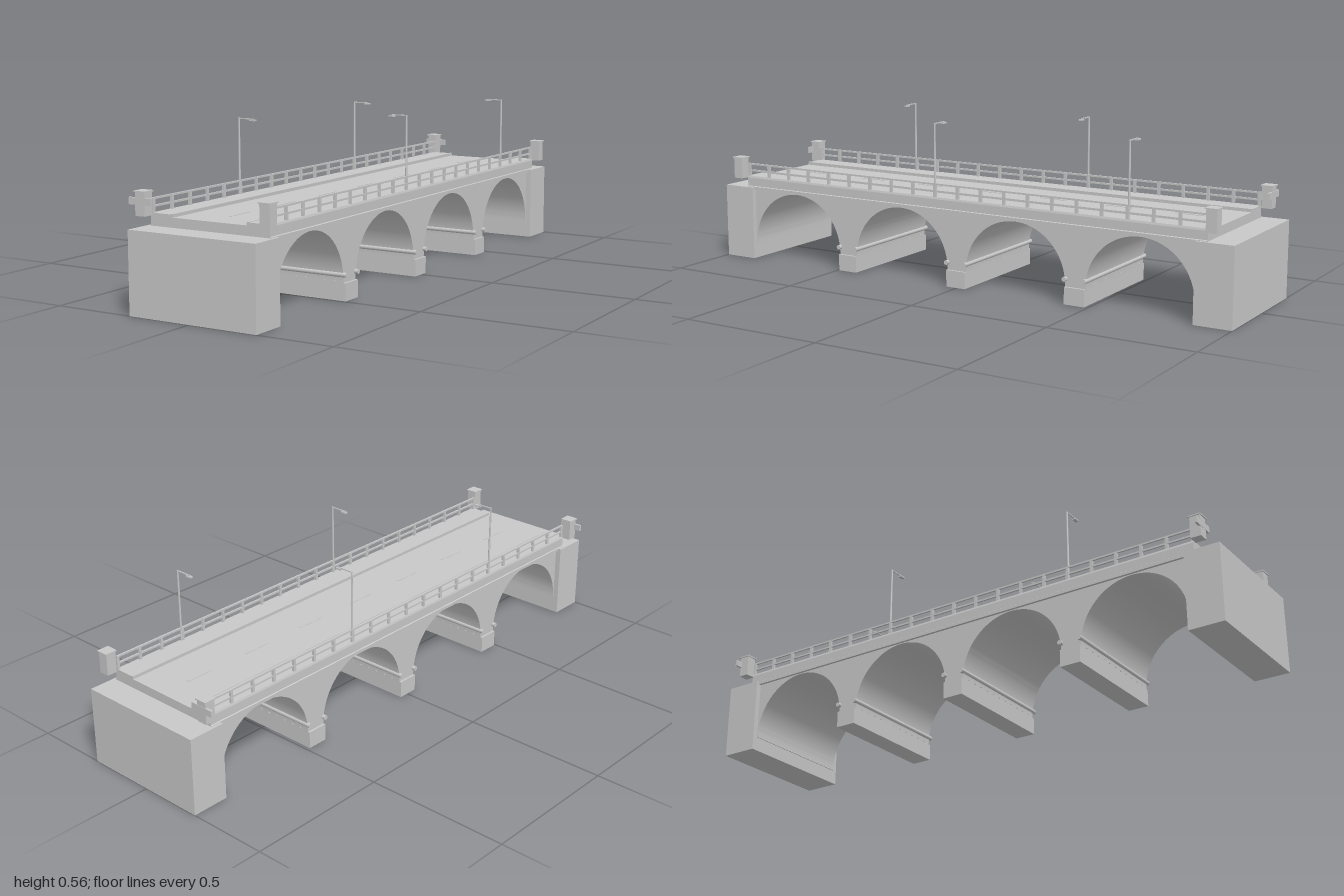
import * as THREE from 'three';
import { toCreasedNormals } from 'three/addons/utils/BufferGeometryUtils.js';

export function createModel() {
  const bridge = new THREE.Group();
  bridge.name = 'archBridge';
  const stone = new THREE.MeshStandardMaterial({ color: 0xc8c8c8 });
  stone.name = 'stoneGrey';
  const CX = 0.01; // centre line of the bridge
  const DECK = 0.907; // half length of the deck

  function add(name, geo, parent = bridge) {
    const mesh = new THREE.Mesh(geo, stone);
    mesh.name = name;
    parent.add(mesh);
    return mesh;
  }
  // Box given by its limits on each axis
  function box(name, x0, x1, y0, y1, z0, z1, parent) {
    const mesh = add(name, new THREE.BoxGeometry(x1 - x0, y1 - y0, z1 - z0), parent);
    mesh.position.set((x0 + x1) / 2, (y0 + y1) / 2, (z0 + z1) / 2);
    return mesh;
  }

  // Arched wall: side outline with four half-round openings, run across the width
  const pitch = 0.454, mid = -0.004, r = 0.19, spring = 0.062;
  const side = new THREE.Shape();
  side.moveTo(-0.9, 0.264);
  side.lineTo(-0.9, 0.05);
  for (let k = -1.5; k <= 1.5; k++) {
    const c = mid + k * pitch;
    side.lineTo(c - r, 0.05);
    side.absarc(c, spring, r, Math.PI, 0, true);
    side.lineTo(c + r, 0.05);
  }
  side.lineTo(0.9, 0.05);
  side.lineTo(0.9, 0.264);
  const arches = new THREE.ExtrudeGeometry(side, { depth: 0.424, bevelEnabled: false, curveSegments: 32 });
  arches.translate(0, 0, -0.212);
  arches.rotateY(Math.PI / 2);
  add('archedWall', toCreasedNormals(arches, 0.5)).position.x = CX;

  // Piers with rounded ledges and small studs
  for (let k = -1; k <= 1; k++) {
    const pier = new THREE.Group();
    pier.name = 'pier';
    pier.position.set(CX, 0, -(mid + k * pitch));
    bridge.add(pier);
    box('pierFooting', -0.22, 0.22, 0, 0.058, -0.037, 0.037, pier);
    for (const s of [-1, 1]) {
      const ledge = add('pierLedge', new THREE.CylinderGeometry(0.008, 0.008, 0.448, 12), pier);
      ledge.rotation.z = Math.PI / 2;
      ledge.position.set(0, 0.084, s * 0.036);
      for (let i = -5; i <= 5; i++) {
        box('stud', i * 0.036 - 0.002, i * 0.036 + 0.002, 0.06, 0.064, s * 0.0385 - 0.002, s * 0.0385 + 0.002, pier);
      }
    }
  }

  // Abutments at both ends
  box('frontAbutment', -0.222, 0.241, 0, 0.264, 0.877, 1);
  box('backAbutment', -0.222, 0.241, 0, 0.264, -1, -0.87);

  // Deck cross-section with raised pavements
  const half = [[0.14, 0.295], [0.14, 0.304], [0.216, 0.304], [0.218, 0.297], [0.218, 0.268], [0.221, 0.266], [0.221, 0.255]];
  const section = new THREE.Shape([
    ...half.map(([x, y]) => new THREE.Vector2(x, y)),
    ...half.slice().reverse().map(([x, y]) => new THREE.Vector2(-x, y)),
  ]);
  const deck = new THREE.ExtrudeGeometry(section, { depth: 2 * DECK, bevelEnabled: false });
  add('deck', deck).position.set(CX, 0, -DECK);

  // Lane dashes
  for (let i = -3; i <= 3; i++) {
    box('laneDash', CX - 0.004, CX + 0.004, 0.295, 0.2965, i * 0.25 - 0.05, i * 0.25 + 0.05);
  }

  for (const s of [-1, 1]) {
    // Kerb
    const k = CX + s * 0.139;
    box('kerb', k - 0.004, k + 0.004, 0.29, 0.3055, -DECK, DECK);

    // Railing
    const x = CX + s * 0.211;
    for (const y of [0.3475, 0.324]) {
      box('handrail', x - 0.003, x + 0.003, y - 0.003, y + 0.003, -DECK, DECK);
    }
    for (let i = 0; i <= 20; i++) {
      const z = -0.903 + i * 0.0903;
      box('railPost', x - 0.004, x + 0.004, 0.302, 0.35, z - 0.005, z + 0.005);
    }

    // Corner pillars; those on the -x side carry a cross plate
    for (const e of [-1, 1]) {
      const pillar = new THREE.Group();
      pillar.name = 'cornerPillar';
      pillar.position.set(CX + s * 0.227, 0, e * 0.929);
      bridge.add(pillar);
      box('pillarBody', -0.018, 0.018, 0.297, 0.37, -0.018, 0.018, pillar);
      box('pillarCap', -0.0215, 0.0215, 0.37, 0.374, -0.0215, 0.0215, pillar);
      if (s < 0) box('crossPlate', -0.043, 0.042, 0.331, 0.353, e * 0.015 - 0.004, e * 0.015 + 0.004, pillar);
    }

    // Street lamps, staggered between the two sides
    for (const z of s < 0 ? [0.455, -0.272] : [0.09, -0.637]) {
      const lamp = new THREE.Group();
      lamp.name = 'streetLamp';
      lamp.position.set(CX + s * 0.2105, 0, z);
      if (s > 0) lamp.rotation.y = Math.PI;
      bridge.add(lamp);
      const pole = add('lampPole', new THREE.CylinderGeometry(0.003, 0.004, 0.255, 10), lamp);
      pole.position.y = 0.4275;
      box('lampArm', -0.003, 0.057, 0.5515, 0.555, -0.002, 0.002, lamp);
      box('lampHead', 0.044, 0.065, 0.547, 0.552, -0.006, 0.006, lamp);
    }
  }
  return bridge;
}
